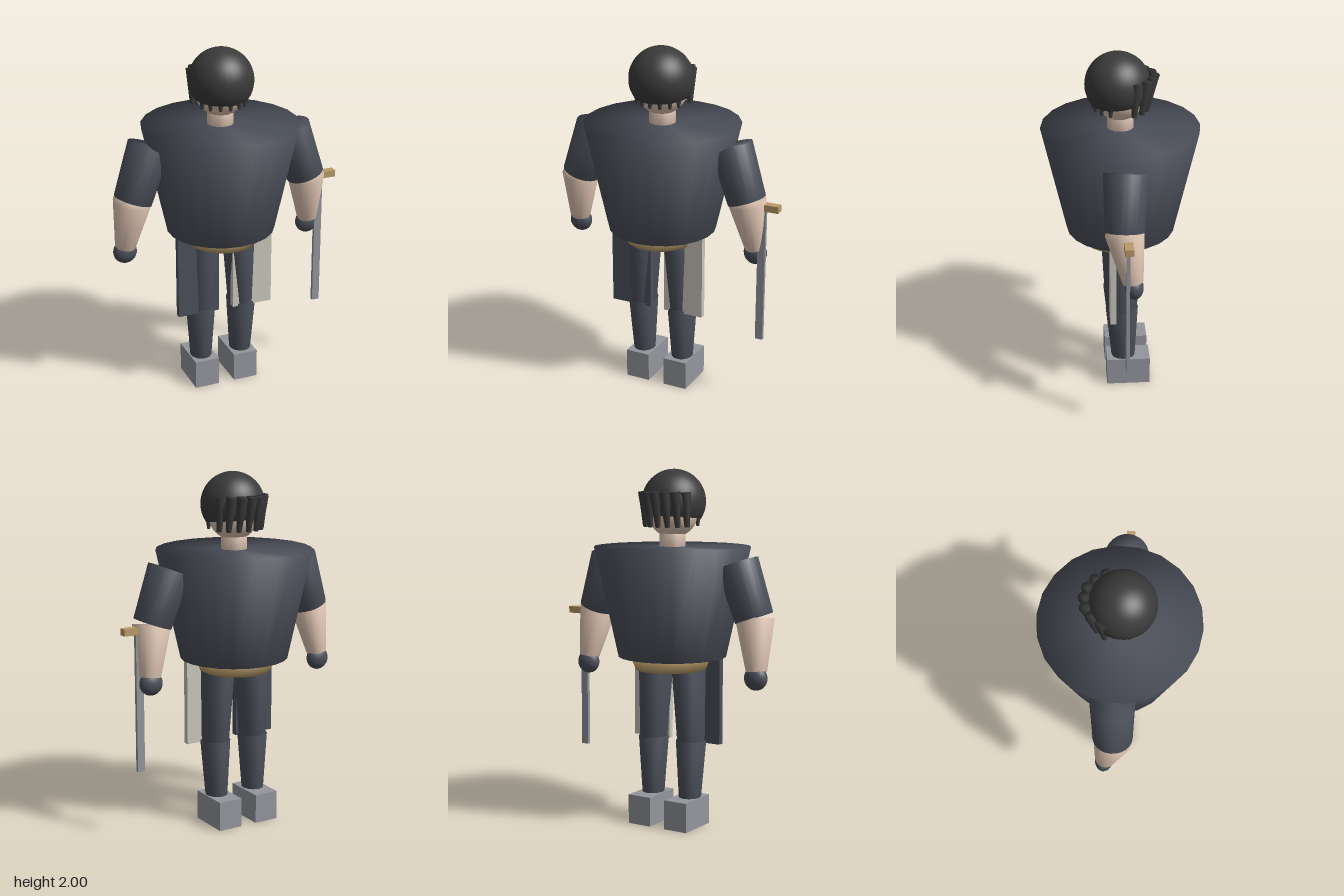
import * as THREE from 'three';
import { mergeVertices } from 'three/addons/utils/BufferGeometryUtils.js';

const CX = -0.04; // body centre line
const mat = (color) => new THREE.MeshStandardMaterial({ color });
const cloth = mat(0x4b4f59), hairMat = mat(0x3a3a3a), skin = mat(0xe0c6b4);
const tan = mat(0xb89a68), steel = mat(0x94969c), pale = mat(0xcac6bc);
hairMat.side = THREE.DoubleSide;

export function createModel() {
  const model = new THREE.Group();

  function add(name, geometry, material, x = 0, y = 0, z = 0) {
    const mesh = new THREE.Mesh(geometry, material);
    mesh.name = name;
    mesh.position.set(x, y, z);
    model.add(mesh);
    return mesh;
  }

  // Closed tapered cylinder with normals blended over the rims
  function taper(rTop, rBottom, height, sides) {
    const g = new THREE.CylinderGeometry(rTop, rBottom, height, sides);
    g.deleteAttribute('normal');
    g.deleteAttribute('uv');
    const soft = mergeVertices(g);
    soft.computeVertexNormals();
    return soft;
  }

  // Tapered limb running from point a (top) to point b (bottom)
  function limb(name, a, b, rTop, rBottom, material, sides = 24, depth = 1) {
    const top = new THREE.Vector3(...a), bottom = new THREE.Vector3(...b);
    const axis = top.clone().sub(bottom);
    const g = taper(rTop, rBottom, axis.length(), sides).scale(1, 1, depth);
    const mid = top.add(bottom).multiplyScalar(0.5);
    const mesh = add(name, g, material, mid.x, mid.y, mid.z);
    mesh.quaternion.setFromUnitVectors(new THREE.Vector3(0, 1, 0), axis.normalize());
    return mesh;
  }

  // Box given by its limits on each axis
  function block(name, [x0, x1], [y0, y1], [z0, z1], material) {
    return add(name, new THREE.BoxGeometry(x1 - x0, y1 - y0, z1 - z0), material,
      (x0 + x1) / 2, (y0 + y1) / 2, (z0 + z1) / 2);
  }

  // Trunk, waist and neck
  limb('torso', [CX, 1.575, 0], [CX, 0.96, 0], 0.437, 0.303, cloth, 22);
  limb('waist', [CX, 0.99, 0], [CX, 0.89, 0], 0.24, 0.2, tan, 24, 1.1);
  limb('neck', [CX, 1.68, 0], [CX, 1.55, 0], 0.073, 0.073, skin);

  // Head and hair cap, dipping slightly at the brow
  add('head', new THREE.SphereGeometry(0.142, 32, 20), skin, CX, 1.765, 0.005);
  const cap = add('hairCap',
    new THREE.SphereGeometry(0.178, 32, 22, 0, Math.PI * 2, 0, Math.PI * 0.67),
    hairMat, CX, 1.822, 0.015);
  cap.rotation.x = 0.1;

  // Locks fanning out around the back of the head
  for (let i = -3; i <= 3; i++) {
    const t = i * 0.37, s = Math.sin(t), c = Math.cos(t);
    limb('backLock', [CX + 0.15 * s, 1.875, -0.182 * c],
      [CX + 0.152 * s, 1.685, -0.145 * c], 0.031, 0.014, hairMat, 12);
  }
  // Short fringe round the brow
  for (let i = -3; i <= 3; i++) {
    const t = i * 0.4, x = CX + 0.137 * Math.sin(t), z = 0.01 + 0.137 * Math.cos(t);
    limb('fringeLock', [x, 1.77, z], [x, 1.687, z], 0.021, 0.008, hairMat, 10);
  }

  // Arms and legs, mirrored about the centre line
  for (const [side, s] of [['left', 1], ['right', -1]]) {
    const X = (d) => CX + s * d;
    limb(side + 'UpperArm', [X(0.413), 1.497, 0], [X(0.516), 1.205, 0.01],
      0.119, 0.107, cloth);
    limb(side + 'Forearm', [X(0.52), 1.2, 0.012], [X(0.555), 0.92, -0.03],
      0.106, 0.057, skin);
    add(side + 'Hand', new THREE.SphereGeometry(0.067, 24, 16), cloth,
      X(0.555), 0.887, -0.037).scale.z = 0.75;

    limb(side + 'Thigh', [X(0.108), 0.94, 0], [X(0.125), 0.48, 0],
      0.094, 0.074, cloth, 24, 1.18);
    limb(side + 'Shin', [X(0.125), 0.49, 0], [X(0.123), 0.15, -0.008],
      0.083, 0.06, cloth, 24, 1.12);
    block(side + 'Boot', [X(0.12) - 0.072, X(0.12) + 0.072], [0, 0.167],
      [-0.16, 0.09], steel);
  }

  // Hanging cloth panels at the hips
  block('rightPanel', [-0.325, -0.08], [0.475, 0.99], [0.04, 0.075], cloth);
  block('leftPanel', [0.005, 0.243], [0.475, 0.99], [0.04, 0.075], pale);

  // Sword held beside the left arm
  block('swordBlade', [0.545, 0.589], [0.385, 1.18], [-0.01, 0.01], steel);
  block('swordGuard', [0.47, 0.664], [1.162, 1.2], [-0.024, 0.022], tan);

  return model;
}
